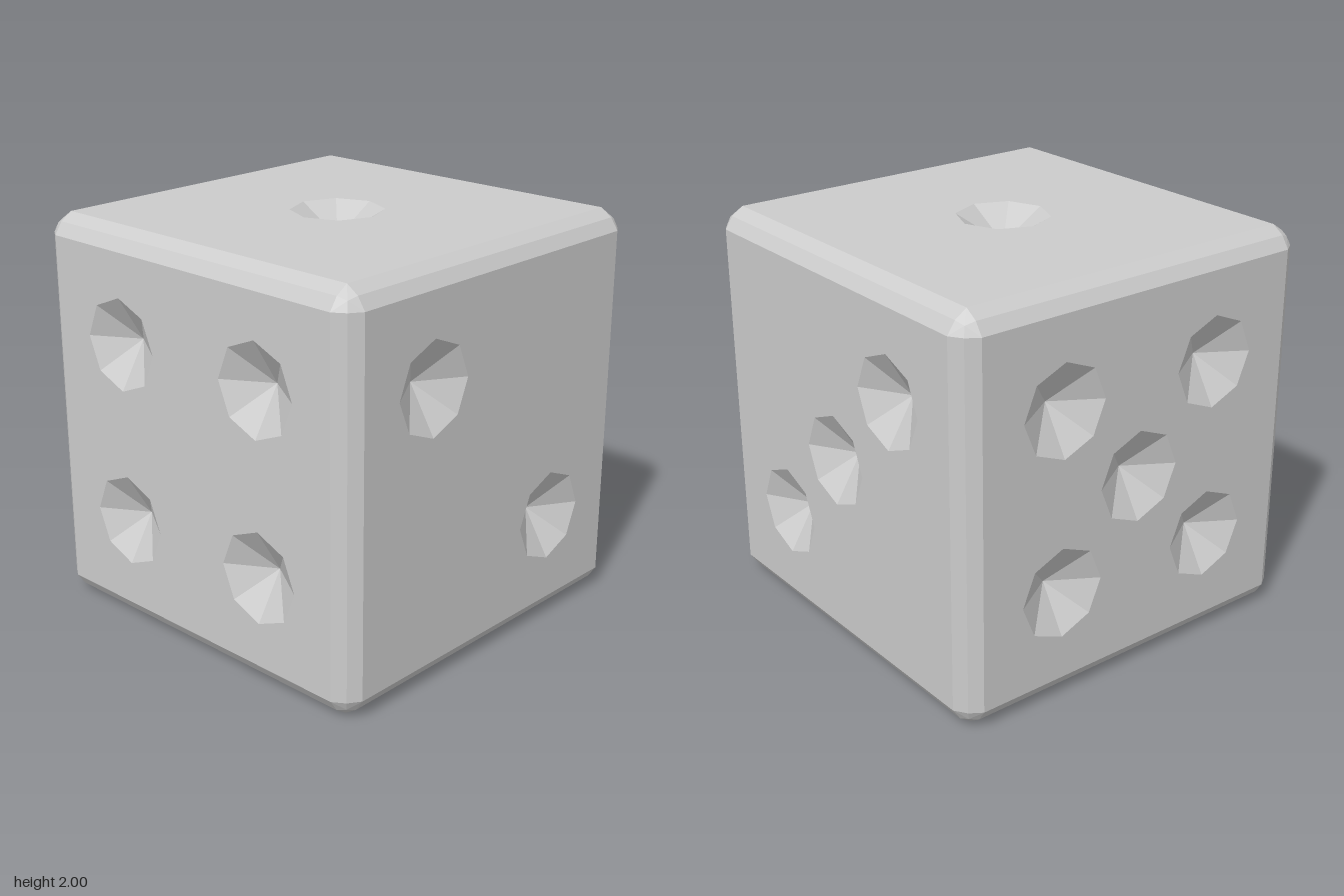
import * as THREE from 'three';
import { ConvexGeometry } from 'three/addons/geometries/ConvexGeometry.js';

const INNER = 0.9, MID = 0.96, CORNER = 0.945; // bevel section on a unit half-size
const PIP_R = 0.23, PIP_DEPTH = 0.14, S = 0.45, L = 0.54;

// Two-step bevel around all edges and corners: a convex hull without its six flat faces
function bevelGeometry() {
  const pts = [];
  for (const x of [-1, 1]) for (const y of [-1, 1]) for (const z of [-1, 1]) {
    for (const [a, b, c] of [
      [1, INNER, INNER], [INNER, 1, INNER], [INNER, INNER, 1],
      [MID, MID, INNER], [MID, INNER, MID], [INNER, MID, MID],
      [CORNER, CORNER, CORNER],
    ]) pts.push(new THREE.Vector3(a * x, b * y, c * z));
  }
  const p = new ConvexGeometry(pts).getAttribute('position').array;
  const kept = [];
  for (let i = 0; i < p.length; i += 9) {
    const flat = [0, 1, 2].some((k) =>
      Math.abs(p[i + k] + p[i + 3 + k] + p[i + 6 + k]) > 2.999);
    if (!flat) kept.push(...p.slice(i, i + 9));
  }
  const geo = new THREE.BufferGeometry();
  geo.setAttribute('position', new THREE.Float32BufferAttribute(kept, 3));
  geo.computeVertexNormals();
  return geo;
}

// Square plate with an eight-sided hole for each pip
function plateGeometry(spots) {
  const shape = new THREE.Shape([[-1, -1], [1, -1], [1, 1], [-1, 1]]
    .map(([x, y]) => new THREE.Vector2(x * INNER, y * INNER)));
  for (const [u, v] of spots) {
    const ring = [];
    for (let i = 0; i < 8; i++) {
      const a = -i * Math.PI / 4;
      ring.push(new THREE.Vector2(u + PIP_R * Math.cos(a), v + PIP_R * Math.sin(a)));
    }
    shape.holes.push(new THREE.Path(ring));
  }
  return new THREE.ShapeGeometry(shape);
}

// Conical hollow: a disc with its centre pushed inwards
function pipGeometry() {
  const disc = new THREE.CircleGeometry(PIP_R, 8);
  disc.getAttribute('position').setZ(0, -PIP_DEPTH);
  const geo = disc.toNonIndexed();
  geo.computeVertexNormals();
  return geo;
}

export function createModel() {
  const model = new THREE.Group();
  model.name = 'die';
  const material = new THREE.MeshStandardMaterial({ color: 0xcccccc, flatShading: true });
  const pipGeo = pipGeometry();

  const add = (parent, name, geo) => {
    const mesh = new THREE.Mesh(geo, material);
    mesh.name = name;
    parent.add(mesh);
    return mesh;
  };

  add(model, 'bevelledEdges', bevelGeometry()).position.y = 1;

  // Pip layouts, seen straight on at each face
  const middle = [[0, 0]];
  const falling = [[-S, S], [S, -S]];
  const rising = [[-S, -S], [S, S]];
  const q = Math.PI / 2;
  const faces = [
    ['topFace', -q, 0, middle],
    ['frontFace', 0, 0, falling],
    ['rightFace', 0, q, [...rising, ...middle]],
    ['leftFace', 0, -q, [...falling, ...rising]],
    ['backFace', 0, 2 * q, [...falling, ...rising, ...middle]],
    ['bottomFace', q, 0, [-S, S].flatMap((u) => [-L, 0, L].map((v) => [u, v]))],
  ];
  for (const [name, rx, ry, spots] of faces) {
    const face = new THREE.Group();
    face.name = name;
    face.position.y = 1;
    face.rotation.set(rx, ry, 0);
    add(face, 'plate', plateGeometry(spots)).position.z = 1;
    for (const [u, v] of spots) add(face, 'pip', pipGeo).position.set(u, v, 1);
    model.add(face);
  }
  return model;
}
